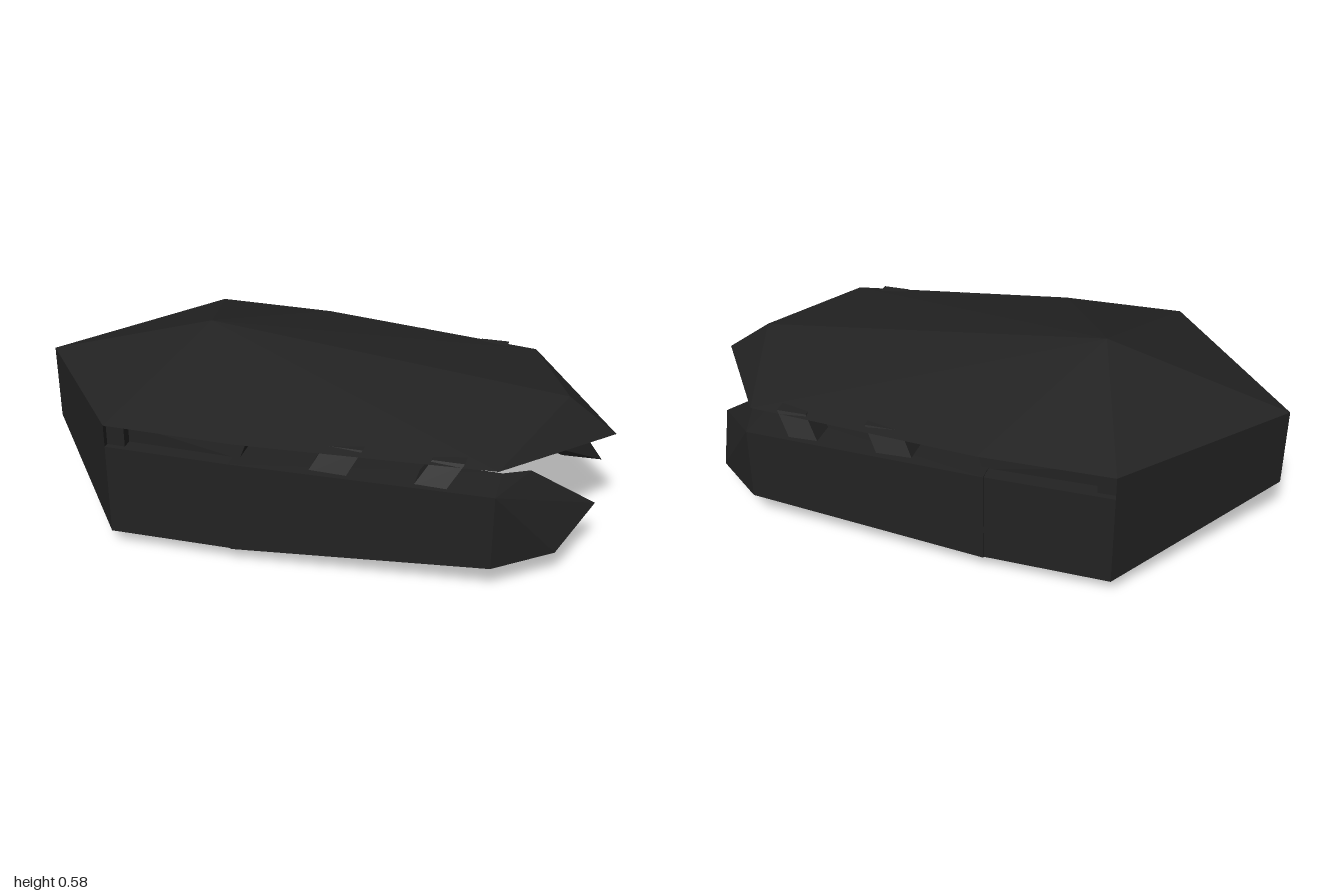
import * as THREE from 'three';
import { ConvexGeometry } from 'three/addons/geometries/ConvexGeometry.js';

const hullDark = new THREE.MeshStandardMaterial({ color: 0x222222 });
hullDark.name = 'hullDark';

const mirrorZ = ([x, y, z]) => [x, y, -z];

// Faceted solid around a set of corner points
function solid(name, points) {
  const geo = new ConvexGeometry(points.map(p => new THREE.Vector3(...p)));
  const mesh = new THREE.Mesh(geo, hullDark);
  mesh.name = name;
  return mesh;
}

// Solid symmetric about z = 0
const symmetricSolid = (name, half) => solid(name, [...half, ...half.filter(p => p[2] !== 0).map(mirrorZ)]);

// Flat triangles on the +z half, repeated on the -z half
function mirroredFacets(name, triangles) {
  const pos = [];
  for (const t of triangles) {
    pos.push(...t.flat());
    pos.push(...[t[0], t[2], t[1]].map(mirrorZ).flat());
  }
  const geo = new THREE.BufferGeometry();
  geo.setAttribute('position', new THREE.Float32BufferAttribute(pos, 3));
  geo.computeVertexNormals();
  const mesh = new THREE.Mesh(geo, hullDark);
  mesh.name = name;
  return mesh;
}

export function createModel() {
  const model = new THREE.Group();
  model.name = 'wedgeShip';

  // Roof shell: ridge, side edge and a hollowed underside
  const tail = [-1, 0.41, 0], peak = [-0.39, 0.585, 0], brow = [0.84, 0.455, 0], tip = [1, 0.34, 0];
  const corner = [-0.55, 0.435, 0.565], mid = [-0.12, 0.43, 0.565], shoulder = [0.68, 0.405, 0.47];
  const underRear = [-0.55, 0.435, 0], underFront = [0.66, 0.42, 0];
  model.add(mirroredFacets('roof', [
    [tail, corner, peak], [peak, corner, mid], [peak, mid, shoulder],
    [peak, shoulder, brow], [brow, shoulder, tip],
    [tail, underRear, corner], [corner, underRear, mid], [underRear, underFront, mid],
    [mid, underFront, shoulder], [shoulder, underFront, tip],
  ]));

  // Pointed stern that reaches the roof
  model.add(symmetricSolid('stern', [
    [-1, 0.14, 0], [-1, 0.41, 0], [-0.55, 0.05, 0.565], [-0.55, 0.435, 0.565],
  ]));

  // Rear hull with a shallow keel, ending in the bay bulkhead
  model.add(symmetricSolid('rearHull', [
    [-0.55, 0.05, 0.565], [-0.55, 0.36, 0.565], [-0.13, 0.05, 0.56],
    [-0.13, 0.355, 0.56], [-0.13, 0, 0],
  ]));

  // Recessed block between rear hull and roof
  model.add(symmetricSolid('recessedDeck', [
    [-0.56, 0.35, 0.51], [-0.56, 0.435, 0.51], [-0.12, 0.35, 0.51], [-0.09, 0.43, 0.5],
  ]));
  // Corner posts beside the recess
  for (const s of [1, -1]) {
    model.add(solid('cornerPost', [-0.56, -0.49].flatMap(x =>
      [0.35, 0.434].flatMap(y => [[x, y, 0.45 * s], [x, y, 0.545 * s]]))));
  }

  for (const s of [1, -1]) {
    const side = new THREE.Group();
    side.name = s > 0 ? 'frontSide' : 'backSide';
    const add = (name, pts) => side.add(solid(name, pts.map(([x, y, z]) => [x, y, z * s])));

    // Long arm beside the open bay
    add('arm', [
      [-0.14, 0.05, 0.565], [-0.14, 0.358, 0.565], [-0.14, 0.07, 0.36], [-0.14, 0.355, 0.36],
      [0.68, 0.09, 0.515], [0.68, 0.34, 0.515], [0.68, 0.085, 0.36], [0.68, 0.34, 0.36],
    ]);

    // Inward-bent claw at the end of the arm
    add('claw', [
      [0.68, 0.09, 0.515], [0.68, 0.34, 0.515], [0.68, 0.085, 0.36], [0.68, 0.34, 0.36],
      [0.76, 0.325, 0.29], [0.86, 0.09, 0.37], [0.82, 0.088, 0.28], [0.96, 0.16, 0.15],
    ]);

    // Slanted struts holding up the roof
    for (const [x, w, top] of [[0.1, 0.12, 0.43], [0.43, 0.1, 0.42]]) {
      const z = 0.53 - 0.05 * x;
      add('strut', [0, w].flatMap(d => [
        [x + d, 0.34, z], [x + d, 0.34, z - 0.09],
        [x + d + 0.05, top, z - 0.03], [x + d + 0.05, top, z - 0.1],
      ]));
    }
    model.add(side);
  }
  return model;
}
